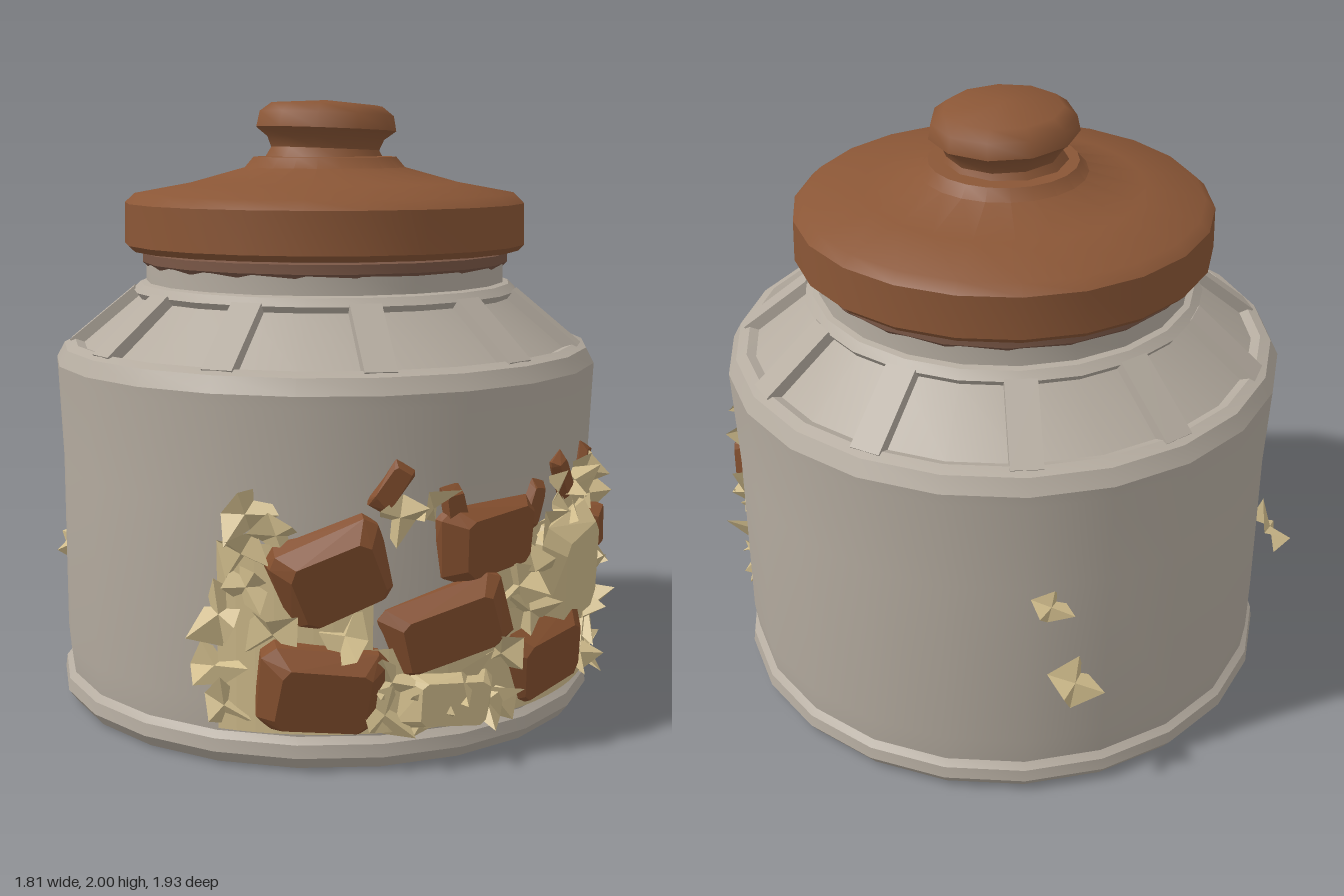
import * as THREE from 'three';
import { toCreasedNormals } from 'three/addons/utils/BufferGeometryUtils.js';
import { ConvexGeometry } from 'three/addons/geometries/ConvexGeometry.js';

const CZ = -0.045; // jar axis in z
const R = 0.895; // jar wall radius

let seed = 7;
function rand() {
  seed = (seed * 16807) % 2147483647;
  return seed / 2147483647;
}
const jitter = (a) => (rand() * 2 - 1) * a;

const mat = (name, color, opts = {}) => {
  const m = new THREE.MeshStandardMaterial({ color, ...opts });
  m.name = name;
  return m;
};

function add(parent, name, geometry, material) {
  const mesh = new THREE.Mesh(geometry, material);
  mesh.name = name;
  parent.add(mesh);
  return mesh;
}

function lathe(points, sides, crease = 0.5) {
  const g = new THREE.LatheGeometry(points.map(([x, y]) => new THREE.Vector2(x, y)), sides);
  return toCreasedNormals(g, crease);
}

// Hewn block with cut corners, front and back faces smaller than its middle
function blockGeometry(w, h, d) {
  const pts = [];
  for (const [z, s] of [[-0.5, 0.72], [-0.15, 1], [0.15, 1], [0.5, 0.72]])
    for (const sx of [-1, 1])
      for (const sy of [-1, 1])
        for (const [cx, cy] of [[0.8, 1], [1, 0.75]])
          pts.push(new THREE.Vector3(
            sx * cx * w * 0.5 * s + jitter(0.006), sy * cy * h * 0.5 * s + jitter(0.006), z * d));
  return new ConvexGeometry(pts);
}

// Crumpled, pleated piece of wrapper paper facing +z
function scrapGeometry(size) {
  const sides = 6;
  const g = new THREE.CircleGeometry(size, sides);
  const p = g.attributes.position;
  const phase = rand() * 6;
  for (let i = 1; i < p.count; i++) {
    const k = (i - 1) % sides; // the last corner meets the first
    const s = (k % 2 ? 1 : 0.8) * (1 + 0.25 * Math.sin(k * 2.3 + phase));
    p.setXYZ(i, p.getX(i) * s, p.getY(i) * s * 0.85, (k % 2 ? 0.28 : -0.35) * size);
  }
  g.computeVertexNormals();
  return g;
}

// Places an object on the jar wall at a given front x and height
function onWall(obj, x, y, radius, roll, tilt = 0, turn = 0) {
  const a = Math.asin(THREE.MathUtils.clamp(x / R, -1, 1));
  obj.position.set(radius * Math.sin(a), y, radius * Math.cos(a) + CZ);
  obj.rotation.set(tilt, a + turn, roll, 'YXZ');
}

export function createModel() {
  const model = new THREE.Group();
  model.name = 'candyJar';
  const glass = mat('smokyGlass', 0xb5aca0);
  const wood = mat('lidBrown', 0x8a5636);
  const seal = mat('sealBrown', 0x7a5746);
  const choc = mat('candyBrown', 0x85502f);
  const paper = mat('wrapperCream', 0xd0bc8c, { flatShading: true, side: THREE.DoubleSide });

  // Jar, turned about its own axis
  const jar = new THREE.Group();
  jar.name = 'jar';
  jar.position.z = CZ;
  model.add(jar);
  add(jar, 'jarBody', lathe([
    [0, 0.025], [0.84, 0.02], [0.855, 0], [0.88, 0.005], [0.91, 0.045], [0.905, 0.085], [0.885, 0.105],
    [0.897, 0.2], [0.897, 0.8], [0.91, 1.1], [0.912, 1.14], [0.885, 1.19], [0.85, 1.205], [0.82, 1.195],
    [0.635, 1.35], [0.65, 1.37], [0.625, 1.395], [0.605, 1.4], [0.605, 1.46], [0.5, 1.46],
  ], 22), glass);

  // Ribs that divide the shoulder into panels
  const ribs = 11;
  for (let i = 0; i < ribs; i++) {
    const holder = new THREE.Group();
    holder.name = 'shoulderRib';
    holder.rotation.y = ((i + 0.5) / ribs) * Math.PI * 2;
    const rib = add(holder, 'rib', new THREE.BoxGeometry(0.1, 0.06, 0.28), glass);
    rib.position.set(0, 1.268, 0.735);
    rib.rotation.x = Math.atan2(0.18, 0.22);
    jar.add(holder);
  }

  // Lid with seal and knob
  const lid = new THREE.Group();
  lid.name = 'lid';
  lid.position.z = CZ;
  model.add(lid);
  add(lid, 'seal', lathe([
    [0.5, 1.45], [0.6, 1.45], [0.615, 1.465], [0.615, 1.495], [0.6, 1.5], [0.6, 1.53],
  ], 20), seal);
  add(lid, 'lidCap', lathe([
    [0, 1.51], [0.655, 1.505], [0.675, 1.525], [0.672, 1.66], [0.64, 1.69], [0.45, 1.725],
    [0.27, 1.775], [0.24, 1.81], [0, 1.82],
  ], 22, 0.6), wood);
  const knob = add(lid, 'knob', lathe([
    [0.22, -0.12], [0.185, -0.06], [0.2, -0.025], [0.24, 0.005], [0.23, 0.055], [0.19, 0.085], [0, 0.1],
  ], 11, 0.9), wood);
  knob.position.y = 1.897;
  knob.rotation.z = -0.04;

  // Paper lining behind the candies
  const candies = new THREE.Group();
  candies.name = 'candies';
  model.add(candies);
  for (const [a, b, top] of [[-0.84, -0.32, 0.7], [-0.32, 0.1, 0.38], [0.1, 0.5, 0.7], [0.5, 0.84, 0.8]]) {
    const h = top - 0.12;
    const g = new THREE.CylinderGeometry(0.905, 0.905, h, 8, 1, true, a, b - a);
    add(candies, 'paperLining', g, paper).position.set(0, 0.12 + h / 2, CZ);
  }

  // Candies: x, y, width, height, roll, radius, tilt, turn, material
  for (const [x, y, w, h, roll, r, tilt, turn, m] of [
    [-0.39, 0.61, 0.35, 0.28, 0.4, 0.86, 0.25, 0.2, choc],
    [0.11, 0.68, 0.38, 0.25, 0.05, 0.84, 0.1, 0.1, choc],
    [-0.05, 0.43, 0.41, 0.25, 0.28, 0.86, 0.15, -0.1, choc],
    [-0.42, 0.26, 0.38, 0.28, -0.1, 0.87, 0.25, 0.1, choc],
    [0.34, 0.27, 0.36, 0.26, 0.2, 0.86, 0.2, -0.1, choc],
    [0.62, 0.61, 0.12, 0.16, 0.1, 0.87, 0, 0, choc],
    [0.46, 0.51, 0.34, 0.4, 0.15, 0.87, 0.1, 0, paper],
    [-0.05, 0.2, 0.32, 0.18, -0.1, 0.86, 0, 0, paper],
  ]) {
    const c = add(candies, m === choc ? 'candy' : 'wrappedCandy', blockGeometry(w, h, 0.18), m);
    onWall(c, x, y, r, roll, tilt, turn);
  }

  // Thin brown slivers along the top of the pile
  for (const [x, y, roll] of [[-0.23, 0.87, -0.6], [-0.03, 0.78, 0.2], [0.27, 0.76, -0.4], [0.43, 0.82, 0.5], [0.59, 0.82, -0.3]]) {
    const s = add(candies, 'candySliver', blockGeometry(0.08, 0.16, 0.07), choc);
    onWall(s, x, y, 0.885, roll);
  }

  // Crumpled wrapper scraps: x, y
  const scraps = [
    [-0.6, 0.79], [-0.61, 0.67], [-0.53, 0.73], [-0.66, 0.48], [-0.6, 0.57], [-0.67, 0.32],
    [-0.65, 0.2], [-0.54, 0.43], [-0.36, 0.43], [-0.21, 0.78], [-0.11, 0.8], [-0.25, 0.18],
    [-0.23, 0.28], [-0.12, 0.18], [0.03, 0.25], [0.08, 0.18], [0.13, 0.32], [0.2, 0.52],
    [0.27, 0.55], [0.13, 0.16], [0.25, 0.43], [0.38, 0.78], [0.48, 0.8], [0.56, 0.81],
    [0.62, 0.72], [0.34, 0.69], [0.69, 0.52], [0.64, 0.42], [0.67, 0.3], [0.66, 0.18],
    [0.56, 0.2], [0.58, 0.31], [0.48, 0.72],
  ];
  for (const [x, y] of scraps) {
    const s = add(candies, 'wrapperScrap', scrapGeometry(0.085 + rand() * 0.025), paper);
    onWall(s, x, y, 0.92, rand() * 6.28, jitter(0.7), jitter(0.7));
  }

  // Stray scraps poking through the back wall
  for (const [x, y, z, size] of [[0.43, 0.74, -0.85, 0.07], [0.37, 0.45, -0.9, 0.1], [-0.71, 0.45, -0.67, 0.11]]) {
    const s = add(candies, 'strayScrap', scrapGeometry(size), paper);
    s.position.set(x, y, z);
    s.rotation.set(-0.5, Math.atan2(x, z - CZ) + 0.4, 0.3, 'YXZ');
  }
  return model;
}
